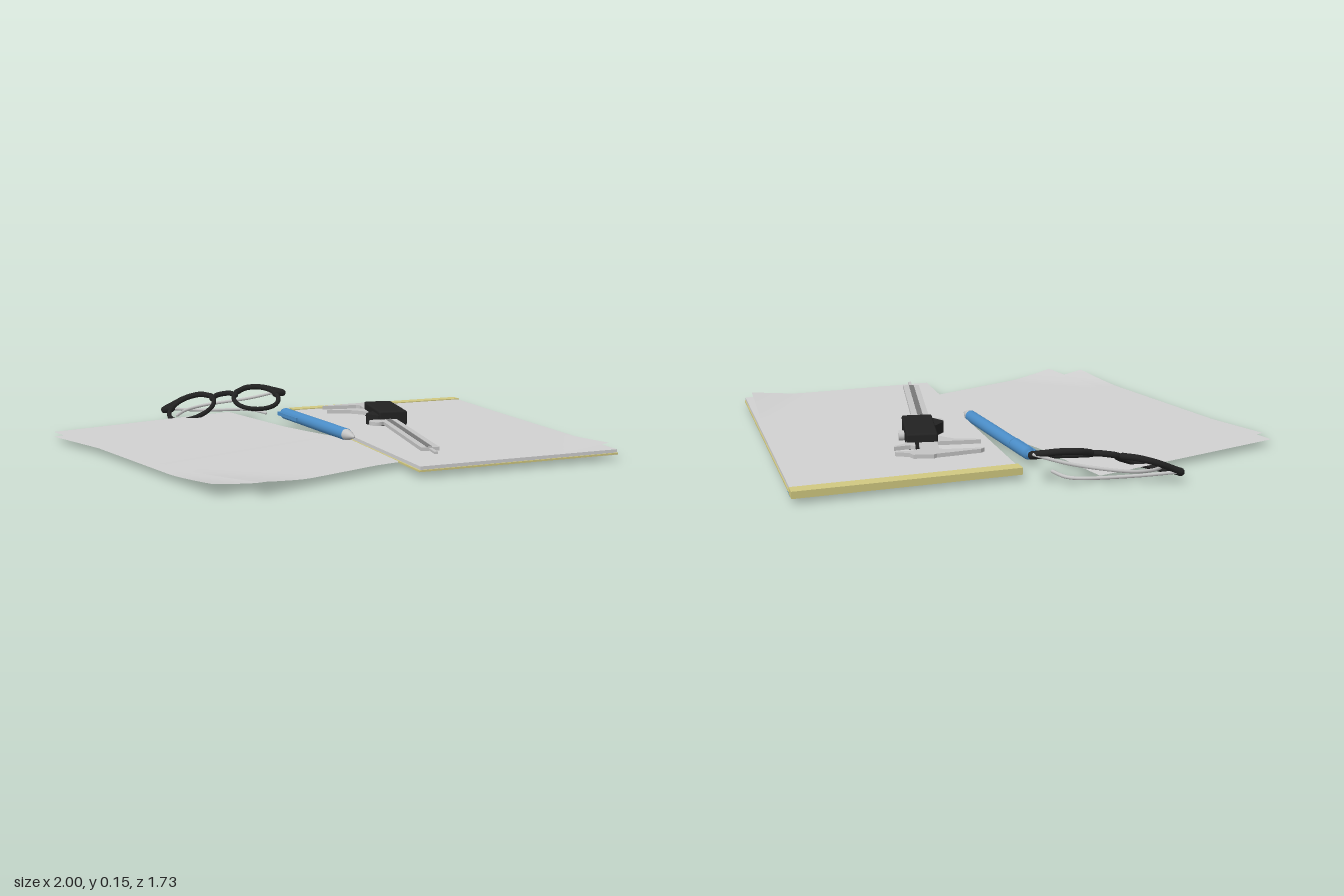
import * as THREE from 'three';
import { RoundedBoxGeometry } from 'three/addons/geometries/RoundedBoxGeometry.js';

const mat = (name, color, side = THREE.FrontSide) => {
  const m = new THREE.MeshStandardMaterial({ color, side });
  m.name = name;
  return m;
};
const V = (x, y, z) => new THREE.Vector3(x, y, z);

export function createModel() {
  const paper = mat('paper grey', 0xd0d0d0, THREE.DoubleSide);
  const yellow = mat('pad yellow', 0xd0c880);
  const blue = mat('pen blue', 0x4a8cc6);
  const black = mat('black plastic', 0x222222);
  const steel = mat('steel', 0xc4c4c4);
  const dark = mat('dark steel', 0x777777);

  const root = new THREE.Group();
  const group = (name, x = 0, z = 0, turn = 0) => {
    const g = new THREE.Group();
    g.name = name;
    g.position.set(x, 0, z);
    g.rotation.y = turn;
    root.add(g);
    return g;
  };
  const add = (parent, name, geometry, material, x = 0, y = 0, z = 0) => {
    const m = new THREE.Mesh(geometry, material);
    m.name = name;
    m.position.set(x, y, z);
    parent.add(m);
    return m;
  };
  // box given by its limits on each axis
  const slab = (parent, name, material, [x0, x1], [y0, y1], [z0, z1]) =>
    add(parent, name, new THREE.BoxGeometry(x1 - x0, y1 - y0, z1 - z0), material,
      (x0 + x1) / 2, (y0 + y1) / 2, (z0 + z1) / 2);
  // sheet spanning four corners [x, z]: back left, back right, front right, front left
  const sheet = (parent, name, [a, b, c, d], height) => {
    const geo = new THREE.PlaneGeometry(1, 1, 24, 32);
    const p = geo.attributes.position;
    for (let i = 0; i < p.count; i++) {
      const u = p.getX(i) + 0.5, v = 0.5 - p.getY(i);
      const mix = k => (a[k] * (1 - u) + b[k] * u) * (1 - v) + (d[k] * (1 - u) + c[k] * u) * v;
      p.setXYZ(i, mix(0), height(u, v), mix(1));
    }
    geo.computeVertexNormals();
    return add(parent, name, geo, paper);
  };
  // lifted corner: 1 at the corner, 0 once u + v reaches the given span
  const curl = (u, v, span) => Math.max(0, 1 - (u + v) / span) ** 1.3;

  // loose sheets, front left corners lifted, crossing each other
  const loose = group('looseSheets');
  sheet(loose, 'firstSheet', [[-0.973, -0.605], [-0.11, -0.725], [0.08, 0.6], [-0.785, 0.695]],
    (u, v) => 0.012 + 0.021 * curl(u, 1 - v, 0.22));
  sheet(loose, 'secondSheet', [[-1, -0.51], [-0.155, -0.712], [0.18, 0.56], [-0.64, 0.76]],
    (u, v) => 0.01 + 0.004 * THREE.MathUtils.smoothstep(v, 0.45, 0.68) + 0.023 * curl(u, 1 - v, 0.28));

  // notepad
  const pad = group('notepad', 0.5, 0.143, -0.104);
  slab(pad, 'backing', yellow, [-0.4325, 0.4325], [0.008, 0.015], [-0.683, 0.683]);
  slab(pad, 'pages', paper, [-0.426, 0.429], [0.015, 0.028], [-0.66, 0.678]);
  slab(pad, 'binding', yellow, [-0.433, 0.433], [0.0065, 0.034], [-0.684, -0.631]);
  slab(pad, 'bindingTape', blue, [-0.433, 0.433], [0.005, 0.008], [-0.656, -0.6]);
  slab(pad, 'undersideSide', paper, [0.268, 0.431], [0.006, 0.008], [-0.6, 0.68]);
  slab(pad, 'undersideBack', paper, [-0.431, 0.268], [0.006, 0.008], [-0.6, -0.38]);
  sheet(pad, 'topPage', [[-0.426, -0.631], [0.429, -0.631], [0.401, 0.665], [-0.426, 0.678]],
    (u, v) => 0.03 + 0.024 * curl(1 - u, 1 - v, 0.28));

  // pen lying along z
  const pen = group('pen', 0.048, 0);
  const lathe = (name, pts, material) => {
    const geo = new THREE.LatheGeometry(pts.map(p => new THREE.Vector2(...p)), 24);
    geo.rotateX(Math.PI / 2);
    add(pen, name, geo, material, 0, 0.036, 0);
  };
  lathe('penButton', [[0, -0.468], [0.012, -0.466], [0.016, -0.458], [0.016, -0.44]], blue);
  lathe('penCap', [[0, -0.452], [0.021, -0.45], [0.025, -0.435], [0.025, -0.313], [0.022, -0.313], [0.022, -0.306]], blue);
  lathe('penBarrel', [[0.022, -0.308], [0.025, -0.308], [0.0255, -0.1], [0.025, 0.135], [0, 0.135]], blue);
  lathe('penTip', [[0.0235, 0.134], [0.02, 0.16], [0.009, 0.19], [0.004, 0.203], [0, 0.204]], steel);
  slab(pen, 'penClip', blue, [-0.034, -0.027], [0.029, 0.045], [-0.45, -0.26]);
  slab(pen, 'clipRoot', blue, [-0.03, -0.015], [0.029, 0.045], [-0.45, -0.425]);

  // caliper, beam running along its own z
  const caliper = group('caliper', 0.365, -0.085, -0.279);
  const plate = (name, pts, y, thick, material = steel) => {
    const shape = new THREE.Shape(pts.map(([x, z]) => new THREE.Vector2(x, -z)));
    const geo = new THREE.ExtrudeGeometry(shape, { depth: thick, bevelEnabled: false });
    geo.rotateX(-Math.PI / 2);
    add(caliper, name, geo, material, 0, y, 0);
  };
  slab(caliper, 'beam', steel, [-0.058, 0.014], [0.05, 0.064], [-0.28, 0.758]);
  slab(caliper, 'beamGroove', dark, [-0.034, -0.012], [0.063, 0.0655], [0.13, 0.75]);
  slab(caliper, 'depthRod', steel, [-0.028, -0.014], [0.053, 0.061], [0.7, 0.832]);
  plate('fixedJaw', [[-0.232, -0.243], [-0.215, -0.26], [-0.172, -0.268], [-0.1, -0.285], [-0.042, -0.296],
    [-0.03, -0.305], [0.047, -0.298], [0.06, -0.275], [0.114, -0.256], [0.114, -0.246], [0.05, -0.246],
    [0.014, -0.225], [-0.05, -0.225], [-0.075, -0.243]], 0.049, 0.016);
  plate('slidingJaw', [[-0.232, -0.14], [-0.06, -0.14], [-0.06, -0.05], [-0.095, -0.085], [-0.13, -0.11],
    [-0.23, -0.13]], 0.049, 0.016);
  plate('smallJaw', [[0.03, -0.19], [0.05, -0.175], [0.114, -0.19], [0.114, -0.178], [0.07, -0.15],
    [0.06, -0.12], [0.03, -0.12]], 0.049, 0.016);
  add(caliper, 'displayHousing', new RoundedBoxGeometry(0.124, 0.064, 0.28, 3, 0.008), black, 0, 0.066, 0);
  plate('thumbGrip', [[-0.05, 0.02], [-0.065, 0.025], [-0.105, 0.075], [-0.105, 0.095], [-0.068, 0.138],
    [-0.05, 0.138]], 0.036, 0.045, black);
  add(caliper, 'thumbRoller', new THREE.CylinderGeometry(0.033, 0.033, 0.016, 24), steel, -0.08, 0.055, 0.167);
  const knob = add(caliper, 'lockKnob', new THREE.CylinderGeometry(0.02, 0.02, 0.022, 20), steel, 0.073, 0.053, 0);
  knob.rotation.z = Math.PI / 2;

  // glasses: s runs along the frame, t towards the lower rim, bowed down at the ends
  const glasses = group('glasses');
  const at = (s, t) => {
    const dx = 0.93 * s - 0.367 * t, dz = 0.367 * s + 0.93 * t;
    return V(dx - 0.145, 0.08 + 0.27 * dx - 0.33 * dz - 0.5 * s * s, dz - 0.695);
  };
  const tube = (name, pts, radius, material, closed = false) => {
    const curve = new THREE.CatmullRomCurve3(pts, closed);
    add(glasses, name, new THREE.TubeGeometry(curve, closed ? 48 : 24, radius, 10, closed), material);
    if (!closed) for (const p of [pts[0], pts[pts.length - 1]])
      add(glasses, name + 'End', new THREE.SphereGeometry(radius, 10, 8), material, p.x, p.y, p.z);
  };
  for (const k of [-1, 1]) {
    const rim = [];
    for (let i = 0; i < 16; i++) {
      const a = i / 16 * Math.PI * 2;
      rim.push(at(k * 0.15 + 0.104 * Math.cos(a), 0.002 + (Math.sin(a) < 0 ? 0.084 : 0.099) * Math.sin(a)));
    }
    tube('lensRim', rim, 0.0105, black, true);
    tube('browBar', [at(k * 0.06, -0.045), at(k * 0.11, -0.079), at(k * 0.18, -0.083), at(k * 0.24, -0.066),
      at(k * 0.275, -0.058)], 0.013, black);
    tube('endPiece', [at(k * 0.243, -0.035), at(k * 0.277, -0.05)], 0.016, black);
  }
  tube('bridge', [at(-0.055, -0.02), at(-0.03, -0.042), at(0.03, -0.042), at(0.055, -0.02)], 0.012, black);
  // folded temples
  tube('leftTemple', [at(0.272, -0.066), V(0, 0.07, -0.725), V(-0.2, 0.04, -0.803), V(-0.3, 0.026, -0.785),
    V(-0.36, 0.014, -0.74)], 0.007, steel);
  tube('rightTemple', [at(-0.277, -0.062), V(-0.22, 0.018, -0.795), V(-0.02, 0.016, -0.73), V(0.015, 0.014, -0.69),
    V(0.03, 0.013, -0.61)], 0.007, steel);

  return root;
}
